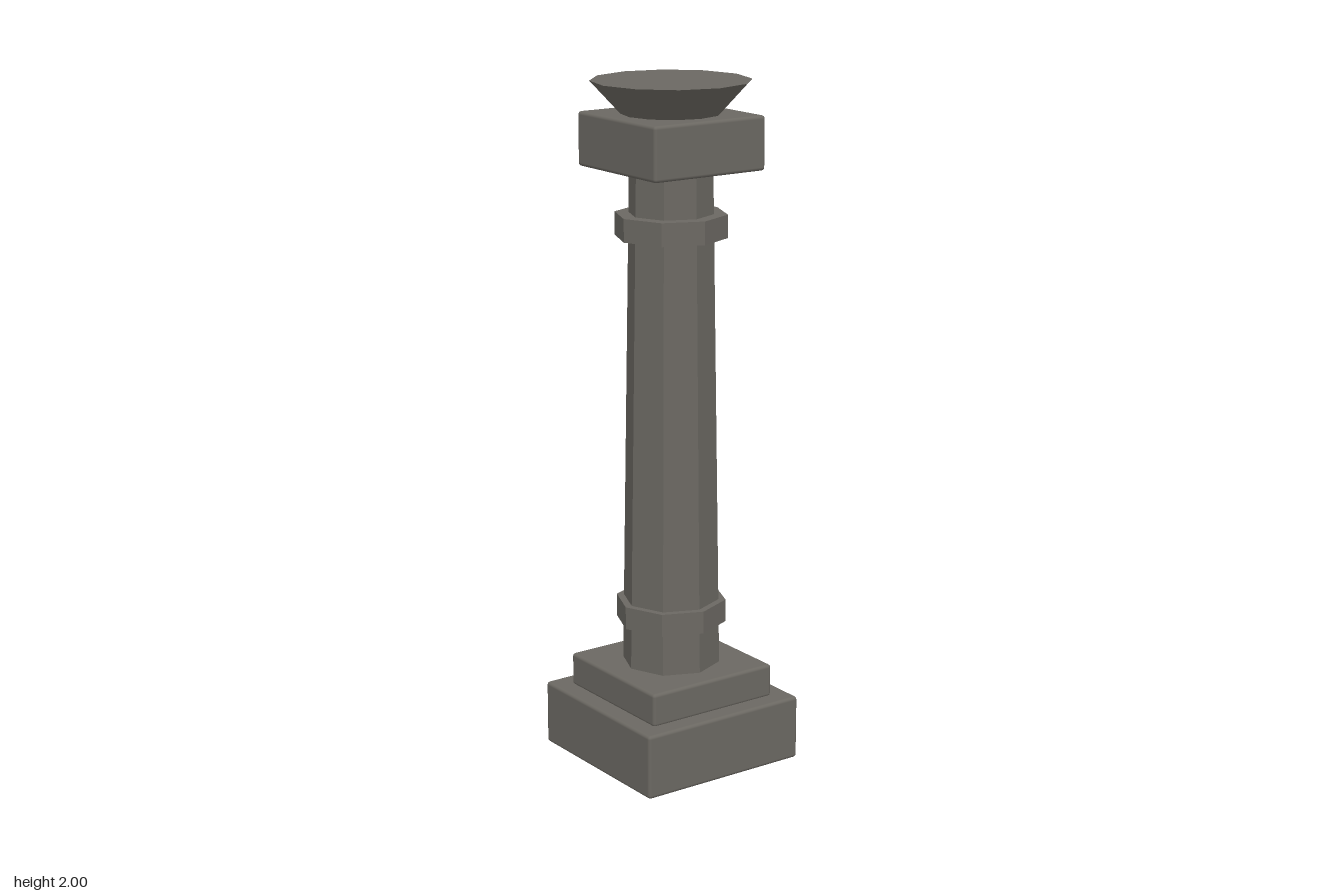
import * as THREE from 'three';
import { RoundedBoxGeometry } from 'three/addons/geometries/RoundedBoxGeometry.js';

export function createModel() {
  const group = new THREE.Group();
  group.name = 'column';

  const stone = new THREE.MeshStandardMaterial({ color: 0x6b6862 });
  stone.name = 'darkStone';

  const add = (name, geometry, y0, y1) => {
    const mesh = new THREE.Mesh(geometry, stone);
    mesh.name = name;
    mesh.position.y = (y0 + y1) / 2;
    group.add(mesh);
  };

  // Square block with softened edges
  const block = (name, width, y0, y1) =>
    add(name, new RoundedBoxGeometry(width, y1 - y0, width, 2, 0.01), y0, y1);

  // Faceted drum with its corners on the axes
  const drum = (name, rBottom, rTop, y0, y1, sides) => {
    const geometry = new THREE.CylinderGeometry(rTop, rBottom, y1 - y0, sides).toNonIndexed();
    geometry.computeVertexNormals();
    add(name, geometry, y0, y1);
  };

  // Stepped foot
  block('plinth', 0.536, 0, 0.192);
  block('upperPlinth', 0.424, 0.188, 0.288);

  // Tapering octagonal shaft with two collars
  drum('shaft', 0.144, 0.12, 0.28, 1.76, 8);
  drum('lowerCollar', 0.162, 0.162, 0.415, 0.482, 8);
  drum('upperCollar', 0.162, 0.162, 1.558, 1.625, 8);

  // Square capital carrying a flared twelve-sided dish
  block('capital', 0.378, 1.752, 1.907);
  add('dish', new THREE.CylinderGeometry(0.228, 0.135, 0.1, 12), 1.9, 2);

  return group;
}
